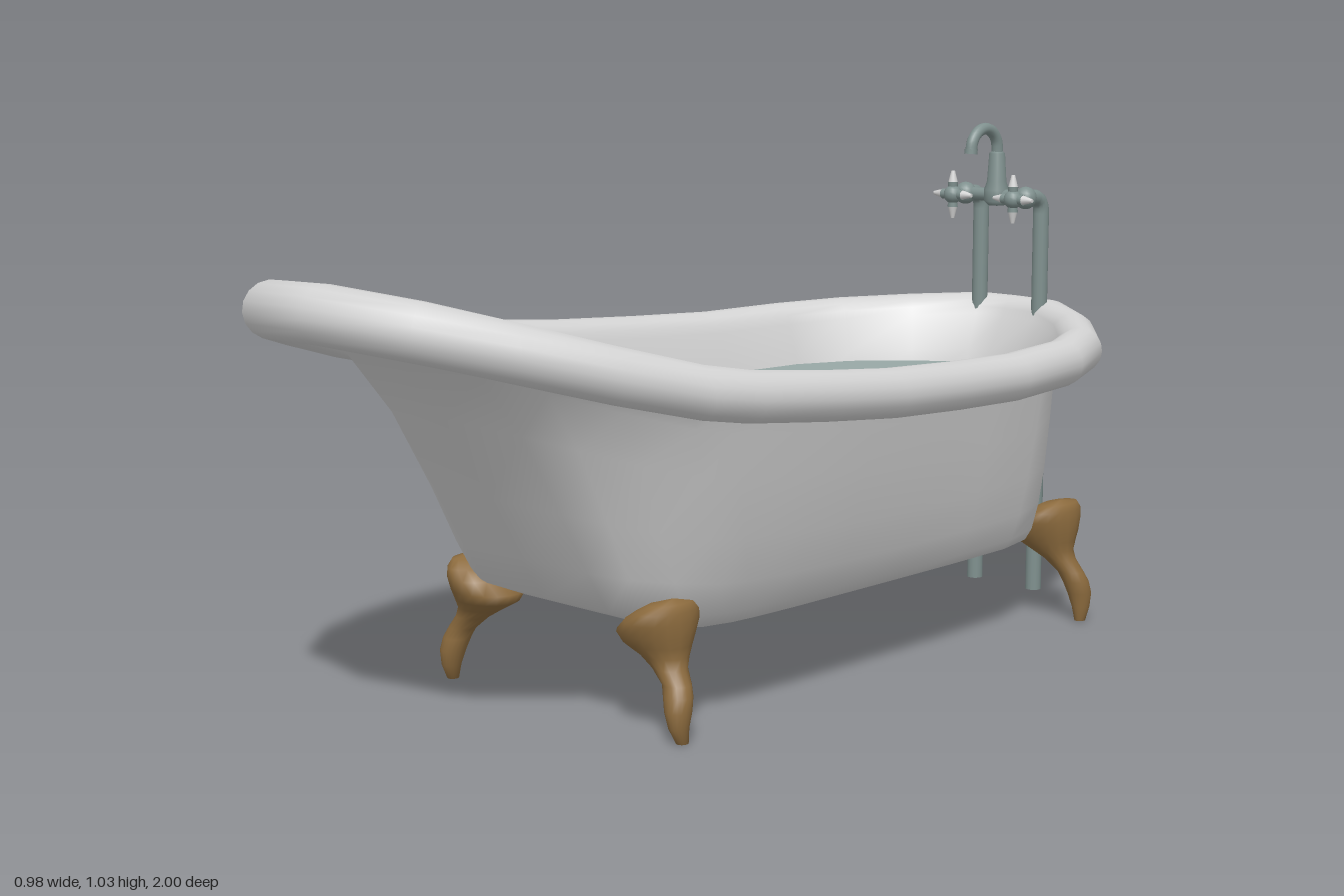
import * as THREE from 'three';

const mat = (name, color) => {
  const m = new THREE.MeshStandardMaterial({ color });
  m.name = name;
  return m;
};

// Skin closed rings of points, listed so that the surface faces outward
function loft(rings) {
  const n = rings[0].length, pos = [], idx = [];
  rings.forEach(r => r.forEach(p => pos.push(p.x, p.y, p.z)));
  for (let i = 0; i < rings.length - 1; i++) {
    for (let j = 0; j < n; j++) {
      const a = i * n + j, b = i * n + (j + 1) % n;
      idx.push(a, b, b + n, a, b + n, a + n);
    }
  }
  const g = new THREE.BufferGeometry();
  g.setAttribute('position', new THREE.Float32BufferAttribute(pos, 3));
  g.setIndex(idx);
  g.computeVertexNormals();
  return g;
}

const V = (x, y, z) => new THREE.Vector3(x, y, z);
const { lerp, smoothstep, degToRad } = THREE.MathUtils;

// Half outline, front to back: rim centre x, y, z and base x, z
const HALF = [
  [0, 0.80, 0.95, 0, 0.36], [0.20, 0.785, 0.905, 0.16, 0.36],
  [0.295, 0.748, 0.785, 0.22, 0.35], [0.37, 0.702, 0.635, 0.255, 0.30],
  [0.425, 0.66, 0.48, 0.27, 0.24], [0.44, 0.642, 0.38, 0.275, 0.18],
  [0.442, 0.618, 0.18, 0.278, 0.08], [0.44, 0.60, 0, 0.278, -0.02],
  [0.427, 0.587, -0.2, 0.278, -0.2], [0.41, 0.577, -0.4, 0.277, -0.4],
  [0.383, 0.578, -0.6, 0.272, -0.57], [0.325, 0.582, -0.74, 0.25, -0.67],
  [0.22, 0.588, -0.862, 0.175, -0.74], [0.095, 0.595, -0.952, 0.075, -0.775],
  [0, 0.596, -0.953, 0, -0.78],
];
const BASE_Y = 0.175, WATER_Y = 0.5;

// Wall curves: height fraction against outward fraction for sides, front and back
const T = [0, 0.08, 0.22, 0.42, 0.68, 0.88, 1];
const F_SIDE = [0, 0.18, 0.38, 0.59, 0.79, 0.92, 1];
const F_FRONT = [0, 0.18, 0.285, 0.415, 0.60, 0.79, 1];
const F_BACK = [0, 0.26, 0.52, 0.70, 0.84, 0.93, 1];

function tubColumns() {
  const outline = [...HALF, ...HALF.slice(1, -1).reverse().map(([x, y, z, bx, bz]) => [-x, y, z, -bx, bz])];
  const n = outline.length;
  return outline.map(([x, y, z, bx, bz], j) => {
    const p = outline[(j + n - 1) % n], q = outline[(j + 1) % n];
    const inward = V(q[2] - p[2], 0, p[0] - q[0]).normalize();
    const front = smoothstep(z, 0.3, 0.8), back = smoothstep(-z, 0.5, 0.9);
    const rim = V(x, y, z), base = V(bx, BASE_Y, bz);
    const top = rim.clone().addScaledVector(inward, 0.031 + 0.009 * front + 0.024 * back);
    top.y -= 0.02;
    const outer = T.map((t, i) => {
      const f = lerp(lerp(F_SIDE[i], F_FRONT[i], front), F_BACK[i], back);
      return V(lerp(base.x, top.x, f), lerp(base.y, top.y, t), lerp(base.z, top.z, f));
    });
    const inner = outer.slice(0, -1).map(o => o.clone().addScaledVector(inward, 0.034 + 0.008 * front - 0.006 * back));
    outer[0].y += 0.009;
    inner[0].y += 0.025;
    const r = 0.047 + 0.006 * front;
    // Rolled rim: from under the lip, round the outside, over to the inside
    const roll = [];
    for (let k = 0; k <= 14; k++) {
      const a = degToRad(-45 - k * 22);
      const c = rim.clone().addScaledVector(inward, r * Math.cos(a));
      c.y += r * Math.sin(a);
      roll.push(c);
    }
    return { outer, inner, roll };
  });
}

function tubGeometry(cols) {
  const under = s => cols.map(c => V(c.outer[0].x * s, BASE_Y, -0.2 + (c.outer[0].z + 0.2) * s));
  const floor = s => cols.map(c => V(c.inner[0].x * s, BASE_Y + 0.025, -0.2 + (c.inner[0].z + 0.2) * s));
  const rings = [under(0), under(0.9)];
  for (let i = 0; i < T.length; i++) rings.push(cols.map(c => c.outer[i]));
  for (let k = 0; k < cols[0].roll.length; k++) rings.push(cols.map(c => c.roll[k]));
  for (let i = T.length - 2; i >= 0; i--) rings.push(cols.map(c => c.inner[i]));
  rings.push(floor(0.9), floor(0));
  return loft(rings);
}

// Flat surface meeting the inner wall
function waterGeometry(cols) {
  const edge = cols.map(({ inner, roll }) => {
    const wall = [...inner, roll[roll.length - 1]];
    const k = wall.findIndex(p => p.y > WATER_Y);
    const a = wall[k - 1], b = wall[k];
    return a.clone().lerp(b, (WATER_Y - a.y) / (b.y - a.y));
  });
  return loft([edge, edge.map(() => V(0, WATER_Y, -0.1))]);
}

// Leg sections from foot to shoulder: y, x, half width, half depth, outward z shift
const LEG = [
  [0, 0.311, 0, 0, 0.02], [0.001, 0.311, 0.011, 0.012, 0.02], [0.03, 0.308, 0.018, 0.02, 0.026],
  [0.06, 0.305, 0.025, 0.026, 0.024], [0.085, 0.299, 0.028, 0.027, 0.018], [0.105, 0.29, 0.028, 0.026, 0.012],
  [0.13, 0.267, 0.034, 0.031, 0.006], [0.15, 0.248, 0.048, 0.042, 0], [0.17, 0.23, 0.068, 0.058, 0],
  [0.19, 0.226, 0.075, 0.07, 0], [0.215, 0.24, 0.061, 0.076, 0], [0.235, 0.254, 0.044, 0.07, 0],
  [0.25, 0.265, 0.027, 0.052, 0], [0.257, 0.27, 0, 0, 0],
];
function legGeometry(side, z, dir) {
  return loft(LEG.map(([y, x, rx, rz, dz]) => Array.from({ length: 18 }, (_, j) => {
    const a = j / 18 * Math.PI * 2;
    return V(side * x + rx * Math.sin(a), y, z + dir * dz + rz * Math.cos(a));
  })));
}

export function createModel() {
  const group = new THREE.Group();
  const enamel = mat('white enamel', 0xd4d4d4);
  const brass = mat('aged brass', 0x8c6b3e);
  const metal = mat('grey metal', 0x7f908e);
  const water = mat('water', 0x98a8a6);
  const add = (name, geo, m, parent = group) => {
    const mesh = new THREE.Mesh(geo, m);
    mesh.name = name;
    parent.add(mesh);
    return mesh;
  };
  // Straight round bar between two points
  const bar = (name, a, b, r0, r1, parent, m = metal) => {
    const d = b.clone().sub(a);
    const mesh = add(name, new THREE.CylinderGeometry(r1, r0, d.length(), 14), m, parent);
    mesh.position.copy(a).addScaledVector(d, 0.5);
    mesh.quaternion.setFromUnitVectors(V(0, 1, 0), d.normalize());
    return mesh;
  };

  const cols = tubColumns();
  add('tub', tubGeometry(cols), enamel);
  add('waterSurface', waterGeometry(cols), water);

  for (const side of [1, -1]) {
    add('frontLeg', legGeometry(side, 0.393, 1), brass);
    add('backLeg', legGeometry(side, -0.765, -1), brass);
  }

  // Drain fitting under the tub
  const drain = add('drain', new THREE.TorusGeometry(0.02, 0.008, 8, 18), enamel);
  drain.rotation.x = Math.PI / 2;
  drain.position.set(0, BASE_Y + 0.002, -0.64);

  // Tap: risers, valves, cross handles and spout
  const tap = new THREE.Group();
  tap.name = 'tap';
  group.add(tap);
  const Y = 0.868;
  for (const side of [1, -1]) {
    const x = side * 0.081;
    const path = new THREE.CurvePath();
    path.add(new THREE.LineCurve3(V(x, 0.005, -0.928), V(x, Y - 0.035, -0.928)));
    path.add(new THREE.QuadraticBezierCurve3(V(x, Y - 0.035, -0.928), V(x, Y, -0.928), V(x, Y, -0.893)));
    path.add(new THREE.LineCurve3(V(x, Y, -0.893), V(x, Y, -0.86)));
    add('supplyPipe', new THREE.TubeGeometry(path, 60, 0.017, 14), metal, tap);
    bar('pipeEnd', V(x, 0.004, -0.928), V(x, 0.006, -0.928), 0.017, 0.017, tap);
    add('valveBody', new THREE.SphereGeometry(0.024, 16, 12), metal, tap).position.set(x, Y, -0.872);
    bar('valveStem', V(x, Y, -0.87), V(x, Y, -0.825), 0.014, 0.012, tap);
    add('handleHub', new THREE.SphereGeometry(0.02, 14, 10), metal, tap).position.set(x, Y, -0.828);
    // Metal spokes with pale tips
    for (let k = 0; k < 4; k++) {
      const a = k * Math.PI / 2;
      const at = d => V(x + Math.cos(a) * d, Y + Math.sin(a) * d, -0.828);
      bar('handleSpoke', at(0), at(0.027), 0.009, 0.011, tap);
      bar('handleTip', at(0.027), at(0.051), 0.01, 0.004, tap, enamel);
    }
  }
  bar('crossBar', V(-0.081, Y, -0.876), V(0.081, Y, -0.876), 0.014, 0.014, tap);

  const body = [[0, -0.022], [0.018, -0.021], [0.027, -0.012], [0.027, 0.012], [0.021, 0.03], [0.017, 0.09], [0.012, 0.094]]
    .map(([r, y]) => new THREE.Vector2(r, y));
  add('spoutBase', new THREE.LatheGeometry(body, 18), metal, tap).position.set(0, Y, -0.876);
  const arc = [V(0, Y, -0.876), V(0, 0.94, -0.876)];
  for (let k = 0; k <= 8; k++) {
    const a = Math.PI * k / 8;
    arc.push(V(0, 0.968 + 0.045 * Math.sin(a), -0.831 - 0.045 * Math.cos(a)));
  }
  add('spout', new THREE.TubeGeometry(new THREE.CatmullRomCurve3(arc), 36, 0.0125, 12), metal, tap);
  bar('spoutTip', V(0, 0.972, -0.786), V(0, 0.962, -0.785), 0.014, 0.014, tap);

  return group;
}
